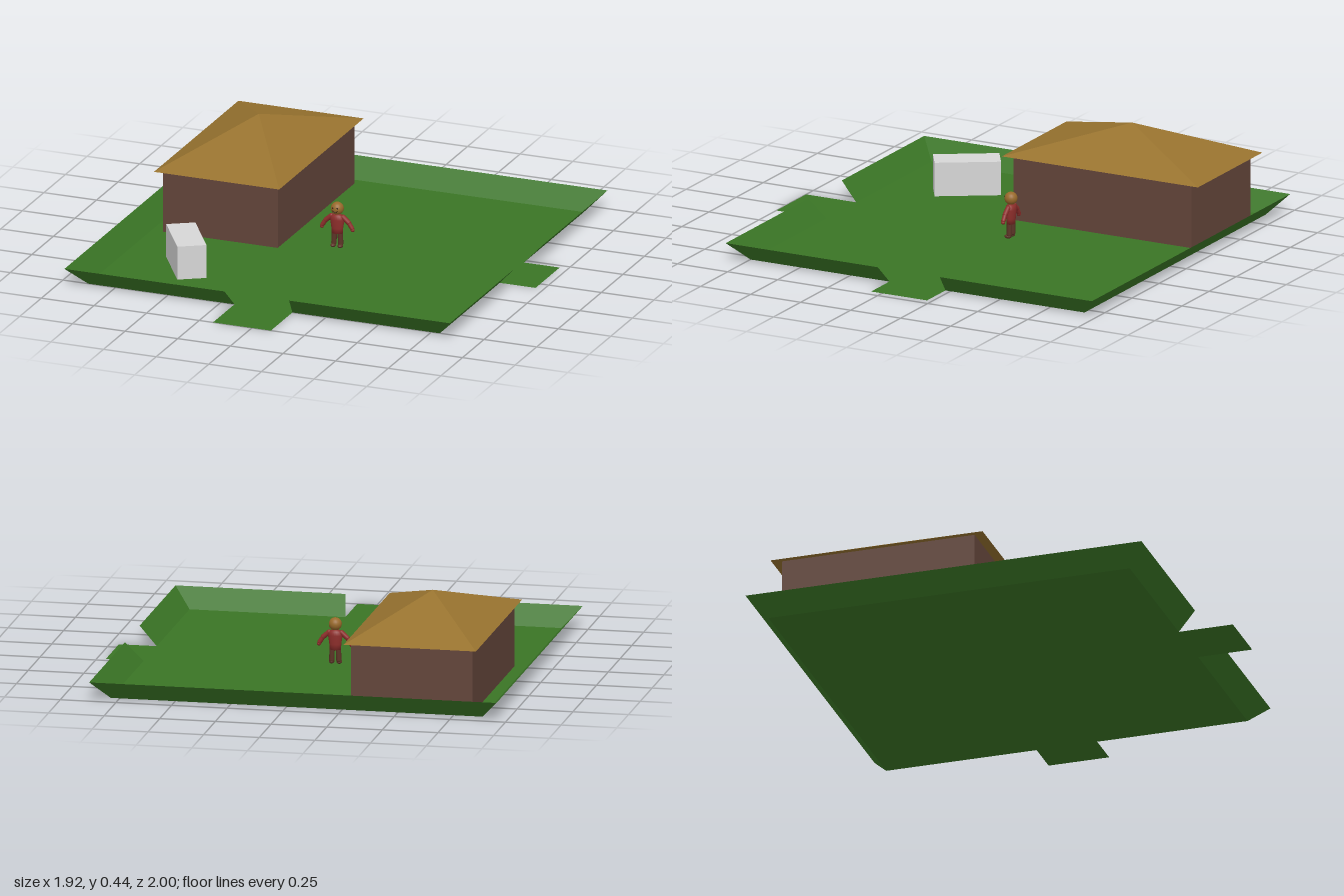
import * as THREE from 'three';

const mat = (name, color, extra = {}) => {
  const m = new THREE.MeshStandardMaterial({ color, ...extra });
  m.name = name;
  return m;
};

export function createModel() {
  const grass = mat('grass green', 0x3a7525, { side: THREE.DoubleSide });
  const wall = mat('wall brown', 0x63453a);
  const thatch = mat('roof ochre', 0x98732f, { flatShading: true });
  const crate = mat('light grey', 0xd6d6d6);
  const skin = mat('skin tan', 0x98692b);
  const shirt = mat('shirt red', 0x8e2e2b);
  const trousers = mat('trouser brown', 0x5c3426);
  const dark = mat('face dark', 0x2a1a10);

  const model = new THREE.Group();
  const add = (name, geo, material, parent = model, pos = [0, 0, 0]) => {
    const m = new THREE.Mesh(geo, material);
    m.name = name;
    m.position.set(...pos);
    parent.add(m);
    return m;
  };

  // Floor with two path tabs, given as x, z
  const outline = [
    [-0.88, 0.75], [-0.185, 0.75], [-0.185, 1], [0.09, 1], [0.09, 0.75], [0.79, 0.75],
    [0.79, 0.055], [0.96, 0.055], [0.96, -0.225], [0.79, -0.225], [0.79, -0.92], [-0.88, -0.92],
  ];
  const floor = new THREE.ShapeGeometry(
    new THREE.Shape(outline.map(([x, z]) => new THREE.Vector2(x, -z))));
  floor.rotateX(-Math.PI / 2);
  add('floor', floor, grass);

  // Outward sloping banks: inner foot a-b, outer rim c-d
  const bank = (name, a, b, c, d) => {
    const g = new THREE.BufferGeometry();
    const H = 0.085;
    g.setAttribute('position', new THREE.Float32BufferAttribute([
      a[0], 0, a[1], b[0], 0, b[1], c[0], H, c[1], d[0], H, d[1]], 3));
    g.setIndex([0, 1, 2, 0, 2, 3]);
    g.computeVertexNormals();
    add(name, g, grass);
  };
  bank('backBank', [-0.88, -0.92], [0.79, -0.92], [0.87, -1], [-0.96, -1]);
  bank('rightBank', [-0.88, 0.75], [-0.88, -0.92], [-0.96, -1], [-0.96, 0.83]);
  bank('frontBankRight', [-0.185, 0.75], [-0.88, 0.75], [-0.96, 0.83], [-0.2, 0.83]);
  bank('frontBankLeft', [0.79, 0.75], [0.09, 0.75], [0.107, 0.83], [0.87, 0.83]);
  bank('leftBankBack', [0.79, -0.92], [0.79, -0.225], [0.87, -0.24], [0.87, -1]);
  bank('leftBankFront', [0.79, 0.055], [0.79, 0.75], [0.87, 0.83], [0.87, 0.07]);

  // House with a pyramid roof
  const house = new THREE.Group();
  house.name = 'house';
  house.position.set(-0.553, 0, -0.43);
  model.add(house);
  add('houseWalls', new THREE.BoxGeometry(0.545, 0.292, 0.89), wall, house, [0, 0.147, 0]);
  const roof = new THREE.ConeGeometry(Math.SQRT1_2, 1, 4);
  roof.rotateY(Math.PI / 4);
  roof.scale(0.595, 0.147, 0.98);
  add('roof', roof, thatch, house, [0, 0.3665, 0]);

  // Turned grey block
  const block = add('greyBlock', new THREE.BoxGeometry(0.13, 0.154, 0.293), crate, model,
    [-0.558, 0.078, 0.398]);
  block.rotation.y = Math.atan2(0.155, 0.25);

  // Small standing figure
  const figure = new THREE.Group();
  figure.name = 'figure';
  figure.position.set(-0.045, 0, -0.1);
  model.add(figure);
  const ball = (name, r, material, pos, scale = [1, 1, 1]) =>
    add(name, new THREE.SphereGeometry(r, 20, 14), material, figure, pos).scale.set(...scale);
  const limb = (name, from, to, r, material) => {
    const a = new THREE.Vector3(...from), b = new THREE.Vector3(...to);
    const dir = b.clone().sub(a);
    const m = add(name, new THREE.CapsuleGeometry(r, dir.length(), 5, 12), material, figure);
    m.position.copy(a.add(b).multiplyScalar(0.5));
    m.quaternion.setFromUnitVectors(new THREE.Vector3(0, 1, 0), dir.normalize());
  };
  const torso = new THREE.LatheGeometry(
    [[0, 0.06], [0.026, 0.066], [0.027, 0.09], [0.033, 0.13], [0.028, 0.148], [0.012, 0.156], [0, 0.157]]
      .map((p) => new THREE.Vector2(...p)), 20);
  torso.scale(1, 1, 0.7);
  add('torso', torso, shirt, figure);
  ball('head', 0.029, skin, [0, 0.181, 0]);
  for (const s of [-1, 1]) {
    limb('upperArm', [s * 0.028, 0.143, 0], [s * 0.054, 0.12, 0], 0.011, shirt);
    limb('lowerArm', [s * 0.054, 0.12, 0], [s * 0.07, 0.096, 0], 0.01, shirt);
    ball('hand', 0.009, shirt, [s * 0.073, 0.088, 0]);
    limb('leg', [s * 0.014, 0.07, 0], [s * 0.016, 0.018, 0], 0.012, trousers);
    ball('foot', 0.012, trousers, [s * 0.017, 0.009, 0.006], [1, 0.75, 1.4]);
    ball('eye', 0.004, dark, [s * 0.01, 0.188, 0.0255], [1, 1, 0.5]);
  }
  // Smile
  const smile = add('mouth', new THREE.TorusGeometry(0.01, 0.0018, 6, 12, Math.PI), dark, figure,
    [0, 0.178, 0.0262]);
  smile.rotation.z = Math.PI;

  return model;
}
